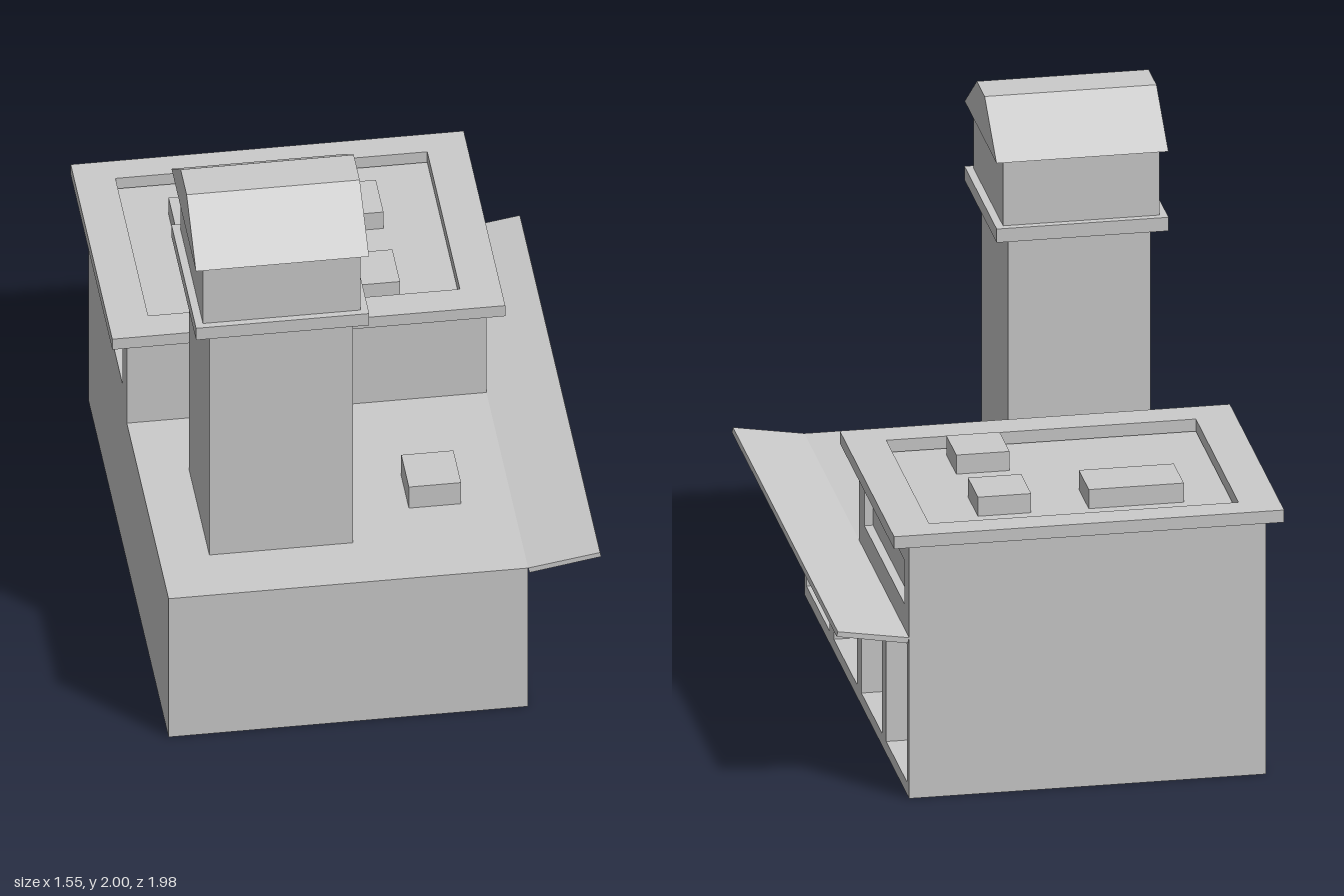
import * as THREE from 'three';

const material = new THREE.MeshStandardMaterial({ color: 0xcccccc, flatShading: true });

// Adds a named mesh to a parent
function add(parent, name, geometry) {
  const mesh = new THREE.Mesh(geometry, material);
  mesh.name = name;
  parent.add(mesh);
  return mesh;
}

// Box given by its limits on each axis
function box(parent, name, [x0, x1], [y0, y1], [z0, z1]) {
  const mesh = add(parent, name, new THREE.BoxGeometry(x1 - x0, y1 - y0, z1 - z0));
  mesh.position.set((x0 + x1) / 2, (y0 + y1) / 2, (z0 + z1) / 2);
  return mesh;
}

function rect(PathType, [a0, a1], [b0, b1]) {
  return new PathType([[a0, b0], [a1, b0], [a1, b1], [a0, b1]].map(p => new THREE.Vector2(...p)));
}

// Side profile of (z, y) points extruded along x
function extrudeX(shape, [x0, x1]) {
  return new THREE.ExtrudeGeometry(shape, { depth: x1 - x0, bevelEnabled: false })
    .rotateY(Math.PI / 2).translate(x0, 0, 0);
}

// Wall slab along x with rectangular openings given as [z range, y range]
function wall(parent, name, xs, zs, ys, openings) {
  const flip = ([z0, z1]) => [-z1, -z0];
  const shape = rect(THREE.Shape, flip(zs), ys);
  for (const [oz, oy] of openings) shape.holes.push(rect(THREE.Path, flip(oz), oy));
  return add(parent, name, extrudeX(shape, xs));
}

export function createModel() {
  const model = new THREE.Group();
  model.name = 'stationBuilding';

  // Ground floor with four deep garage bays
  const ground = new THREE.Group();
  ground.name = 'groundFloor';
  model.add(ground);
  box(ground, 'groundCore', [-0.72, -0.08], [0, 0.59], [-0.95, 0.99]);
  const bays = [[0.525, 0.95], [0.02, 0.445], [-0.45, -0.065], [-0.91, -0.525]];
  wall(ground, 'garageBays', [-0.08, 0.52], [-0.95, 0.99], [0, 0.59],
    bays.map(z => [z, [0.045, 0.55]]));
  box(ground, 'lowerRoofVent', [0.165, 0.345], [0.59, 0.68], [0.41, 0.595]);

  // Thin canopy tilted up over the bays
  const canopy = new THREE.Shape([[0.52, 0.59], [0.525, 0.57], [0.772, 0.612], [0.768, 0.63]]
    .map(p => new THREE.Vector2(...p)));
  add(model, 'canopy', new THREE.ExtrudeGeometry(canopy, { depth: 1.94, bevelEnabled: false }))
    .position.z = -0.95;

  // Upper floor with a recessed window on each side
  const upper = new THREE.Group();
  upper.name = 'upperFloor';
  model.add(upper);
  box(upper, 'upperCore', [-0.69, 0.49], [0.59, 0.93], [-0.95, -0.02]);
  for (const xs of [[-0.72, -0.69], [0.49, 0.52]])
    wall(upper, 'windowWall', xs, [-0.95, -0.02], [0.59, 0.94], [[[-0.86, -0.12], [0.68, 0.84]]]);

  // Overhanging roof rim around a sunken roof
  const rim = rect(THREE.Shape, [-0.775, 0.58], [-0.015, 0.99]);
  rim.holes.push(rect(THREE.Path, [-0.635, 0.44], [0.1, 0.89]));
  add(upper, 'roofRim', new THREE.ExtrudeGeometry(rim, { depth: 0.045, bevelEnabled: false })
    .rotateX(-Math.PI / 2)).position.y = 0.935;

  // Rooftop units
  const units = [[[-0.475, -0.145], [-0.73, -0.545]], [[0.055, 0.24], [-0.73, -0.545]],
    [[0.055, 0.24], [-0.33, -0.145]]];
  for (const [xs, zs] of units) box(upper, 'roofUnit', xs, [0.93, 1], zs);

  // Tower
  const tower = new THREE.Group();
  tower.name = 'tower';
  model.add(tower);
  box(tower, 'towerShaft', [-0.547, -0.052], [0.59, 1.55], [0.268, 0.763]);
  box(tower, 'towerLedge', [-0.6, -0.003], [1.55, 1.6], [0.217, 0.814]);
  box(tower, 'towerHead', [-0.573, -0.03], [1.6, 1.84], [0.243, 0.79]);
  const gable = new THREE.Shape([[-0.81, 1.84], [-0.22, 1.84], [-0.44, 2], [-0.585, 2]]
    .map(p => new THREE.Vector2(...p)));
  add(tower, 'towerRoof', extrudeX(gable, [-0.6, -0.003]));

  return model;
}
